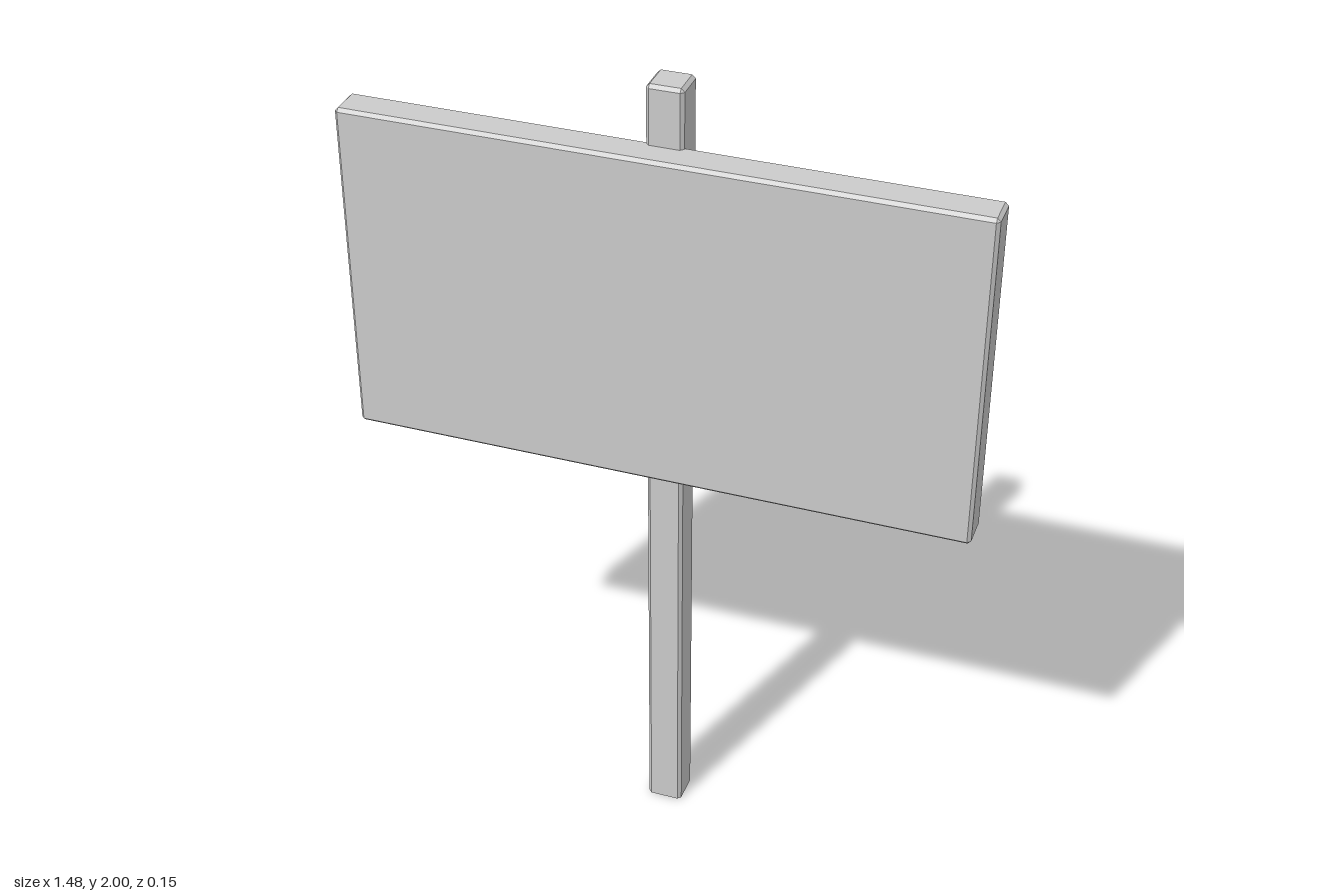
import * as THREE from 'three';

const material = new THREE.MeshStandardMaterial({
  color: 0xcccccc, flatShading: true, side: THREE.DoubleSide,
});

// Hollow bevelled box along +z: open at z = 0, closed at z = depth.
// The open rim is either bevelled inward or cut straight.
function bevelledShell(width, height, depth, bevel, bevelRim) {
  const w = width / 2, h = height / 2;
  const ring = (z, inset) => {
    const pts = [];
    for (const [sx, sy] of [[1, 1], [-1, 1], [-1, -1], [1, -1]]) {
      const side = [sx * (w - inset), sy * (h - bevel), z];
      const end = [sx * (w - bevel), sy * (h - inset), z];
      pts.push(...(sx * sy > 0 ? [side, end] : [end, side]));
    }
    return pts;
  };
  const rings = [
    ring(0, bevelRim ? bevel : 0),
    ...(bevelRim ? [ring(bevel, 0)] : []),
    ring(depth - bevel, 0),
    ring(depth, bevel),
  ];
  const pos = [];
  for (let r = 0; r < rings.length - 1; r++) {
    for (let i = 0; i < 8; i++) {
      const j = (i + 1) % 8;
      const a = rings[r][i], b = rings[r][j], c = rings[r + 1][j], d = rings[r + 1][i];
      // Skip triangles that collapse where a corner comes to a point
      if (a.join() !== b.join()) pos.push(...a, ...b, ...c);
      if (c.join() !== d.join()) pos.push(...a, ...c, ...d);
    }
  }
  // Closed face
  const [p, q, s, t] = [0, 2, 4, 6].map((i) => rings[rings.length - 1][i]);
  pos.push(...p, ...q, ...s, ...p, ...s, ...t);

  const geometry = new THREE.BufferGeometry();
  geometry.setAttribute('position', new THREE.Float32BufferAttribute(pos, 3));
  geometry.computeVertexNormals();
  return geometry;
}

export function createModel() {
  const group = new THREE.Group();
  group.name = 'signpost';

  // Square post, open underneath
  const post = new THREE.Mesh(bevelledShell(0.086, 0.086, 2, 0.008, false), material);
  post.name = 'post';
  post.rotation.x = -Math.PI / 2;
  post.position.z = -0.034;
  group.add(post);

  // Tray-shaped sign panel, open at the back
  const panel = new THREE.Mesh(bevelledShell(1.48, 0.82, 0.087, 0.008, true), material);
  panel.name = 'signPanel';
  panel.position.set(0, 1.45, -0.01);
  group.add(panel);

  return group;
}
